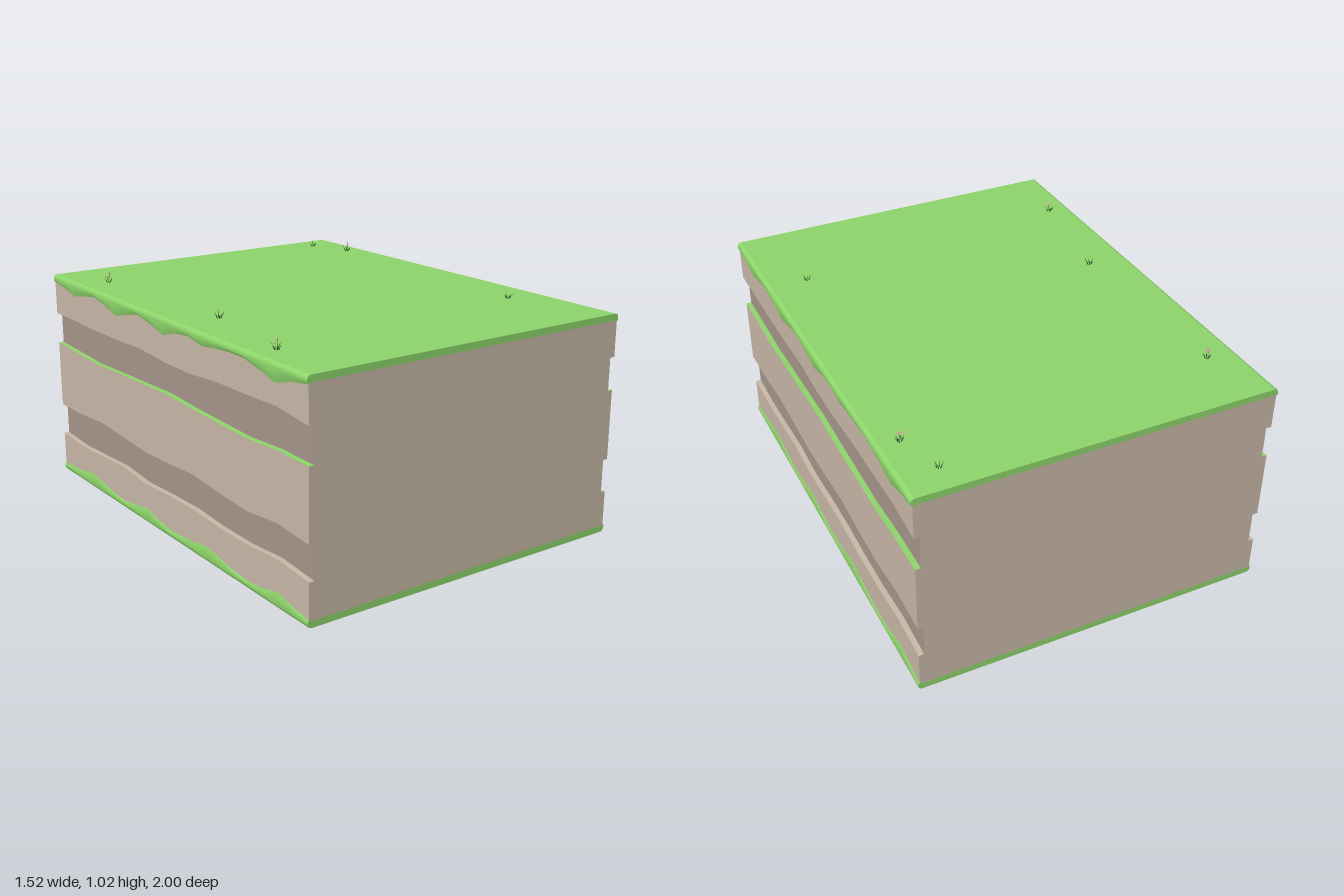
import * as THREE from 'three';
import { toCreasedNormals } from 'three/addons/utils/BufferGeometryUtils.js';

const mat = (color, side = THREE.FrontSide) => new THREE.MeshStandardMaterial({ color, side });
const dirt = mat(0xc7b7a6);
const darkDirt = mat(0xa59589);
const grass = mat(0x8dd46a);
const blade = mat(0x3f6b2f, THREE.DoubleSide);
const petal = mat(0xd98a9a);

const STEPS = 20;
const stations = Array.from({ length: STEPS + 1 }, (_, i) => -1 + (2 * i) / STEPS);

// Heights listed evenly from z = 1 to z = -1
function profile(values) {
  return z => {
    const t = ((1 - z) / 2) * (values.length - 1);
    const i = Math.min(Math.floor(t), values.length - 2);
    return THREE.MathUtils.lerp(values[i], values[i + 1], t - i);
  };
}

function mesh(name, geometry, material) {
  const m = new THREE.Mesh(geometry, material);
  m.name = name;
  return m;
}

// Skin along z; section(z) returns [x, y] points, counter-clockwise from the front
function loft(section) {
  const pos = [];
  for (let k = 0; k < STEPS; k++) {
    const [z0, z1] = [stations[k], stations[k + 1]];
    const [s0, s1] = [section(z0), section(z1)];
    for (let j = 0; j < s0.length - 1; j++) {
      const a = [...s0[j], z0], b = [...s0[j + 1], z0];
      const c = [...s1[j + 1], z1], d = [...s1[j], z1];
      pos.push(...a, ...b, ...c, ...a, ...c, ...d);
    }
  }
  const g = new THREE.BufferGeometry();
  g.setAttribute('position', new THREE.Float32BufferAttribute(pos, 3));
  return toCreasedNormals(g, 0.7);
}

// Flat end of a half section, facing outward: side 1 is the front, -1 the back
function endFace(points, side) {
  const shape = new THREE.Shape(points.map(([x, y]) => new THREE.Vector2(x * side, y)));
  const g = new THREE.ShapeGeometry(shape).translate(0, 0, 1);
  return side < 0 ? g.rotateY(Math.PI) : g;
}

// The block is the same after half a turn about y
function turnedPair(name, half) {
  const group = new THREE.Group();
  group.name = name;
  const other = half.clone();
  other.rotation.y = Math.PI;
  group.add(half, other);
  return group;
}

// Earth block half with two wavy grooves along its side
const OUT = 0.753, IN = 0.73, LOW = 0.073, HIGH = 0.957;
const edges = [
  [.225, .215, .225, .235, .22, .23, .235, .225, .225, .24, .225],
  [.367, .37, .385, .375, .365, .372, .385, .37, .362, .382, .368],
  [.665, .658, .65, .658, .663, .67, .66, .655, .65, .662, .66],
  [.805, .806, .802, .805, .812, .8, .8, .815, .818, .825, .805],
].map(profile);

function dirtSection(z) {
  const [a, b, c, d] = edges.map(f => f(z));
  return [[OUT, LOW], [OUT, a], [IN, a], [IN, b], [OUT, b],
    [OUT, c], [IN, c], [IN, d], [OUT, d], [OUT, HIGH]];
}

function earthHalf() {
  const half = new THREE.Group();
  const bands = [
    ['lowerBand', dirt], ['lowerGrooveFloor', dirt], ['lowerGrooveBack', darkDirt],
    ['lowerGrooveCeiling', grass], ['middleBand', dirt], ['upperGrooveFloor', grass],
    ['upperGrooveBack', darkDirt], ['upperGrooveCeiling', darkDirt], ['upperBand', dirt],
  ];
  bands.forEach(([name, m], i) =>
    half.add(mesh(name, loft(z => dirtSection(z).slice(i, i + 2)), m)));
  for (const side of [1, -1])
    half.add(mesh('earthEnd', endFace([[0, LOW], ...dirtSection(side), [0, HIGH]], side), dirt));
  return half;
}

// Grass layer half with a rounded rim and a scalloped overhang
function grassHalf(overhang) {
  const rim = z => {
    const d = overhang(z);
    return [[0, HIGH], [OUT, HIGH], [OUT, d], [.755, d], [.759, d * 0.6 + .966 * 0.4],
      [.76, .966], [.758, .975], [.753, .982], [.744, .985]];
  };
  const half = new THREE.Group();
  half.add(mesh('grassRim', loft(rim), grass));
  half.add(mesh('grassTop', loft(() => [[.744, .985], [0, .985]]), grass));
  for (const side of [1, -1])
    half.add(mesh('grassEnd', endFace([...rim(side), [0, .985]], side), grass));
  return half;
}

// Small tuft of blades, with optional flowers
function tuft(x, z, flowers, index) {
  const group = new THREE.Group();
  group.name = flowers ? 'flowerTuft' : 'grassTuft';
  for (let i = 0; i < 6; i++) {
    const h = 0.02 + 0.004 * ((i * 2 + index) % 4);
    const g = new THREE.ConeGeometry(0.0027, h, 3).translate(0, h / 2, 0);
    const b = mesh('blade', g, blade);
    const a = i * 1.05 + index;
    b.position.set(Math.cos(a) * 0.007, 0, Math.sin(a) * 0.007);
    b.rotation.set(Math.sin(a) * 0.5, 0, -Math.cos(a) * 0.5);
    group.add(b);
  }
  for (let f = 0; f < (flowers ? 2 : 0); f++) {
    const h = 0.039 - f * 0.01;
    const fx = f ? -0.012 : 0.006, fz = f ? 0.01 : -0.006;
    const stem = mesh('stem', new THREE.CylinderGeometry(0.0007, 0.0007, h, 4), blade);
    stem.position.set(fx, h / 2, fz);
    group.add(stem);
    for (let p = 0; p < 5; p++) {
      const leaf = mesh('petal', new THREE.OctahedronGeometry(0.004), petal);
      leaf.scale.y = 0.4;
      const a = (p / 5) * Math.PI * 2;
      leaf.position.set(fx + Math.cos(a) * 0.005, h, fz + Math.sin(a) * 0.005);
      group.add(leaf);
    }
  }
  group.position.set(x, 0.985, z);
  return group;
}

export function createModel() {
  const model = new THREE.Group();
  model.name = 'grassyEarthBlock';
  model.add(turnedPair('earth', earthHalf()));

  const topEdge = profile([.953, .94, .92, .938, .953, .935, .91, .935, .953, .935, .912,
    .94, .95, .933, .945, .953, .953, .935, .91, .937, .953]);
  const top = new THREE.Group();
  top.name = 'topGrass';
  top.add(turnedPair('topLayer', grassHalf(topEdge)));
  [[.6, -.88], [.665, -.68, true], [-.63, -.705, true], [-.58, .145], [.585, .55],
    [-.66, .67, true]].forEach(([x, z, f], i) => top.add(tuft(x, z, f, i)));

  // Underside layer is built upright, then turned over about x
  const lowEdge = profile([.077, .083, .095, .11, .095, .08, .077, .09, .11, .09, .077,
    .083, .095, .11, .095, .08, .077, .085, .11, .09, .077]);
  const bottom = new THREE.Group();
  bottom.name = 'bottomGrass';
  bottom.add(turnedPair('bottomLayer', grassHalf(z => 1.03 - lowEdge(-z))));
  [[.67, -.2, true], [.65, .63], [-.61, -.45, true], [-.665, .44], [-.565, .855]]
    .forEach(([x, z, f], i) => bottom.add(tuft(x, -z, f, i)));
  bottom.rotation.x = Math.PI;
  bottom.position.y = 1.03;

  model.add(top, bottom);
  return model;
}
